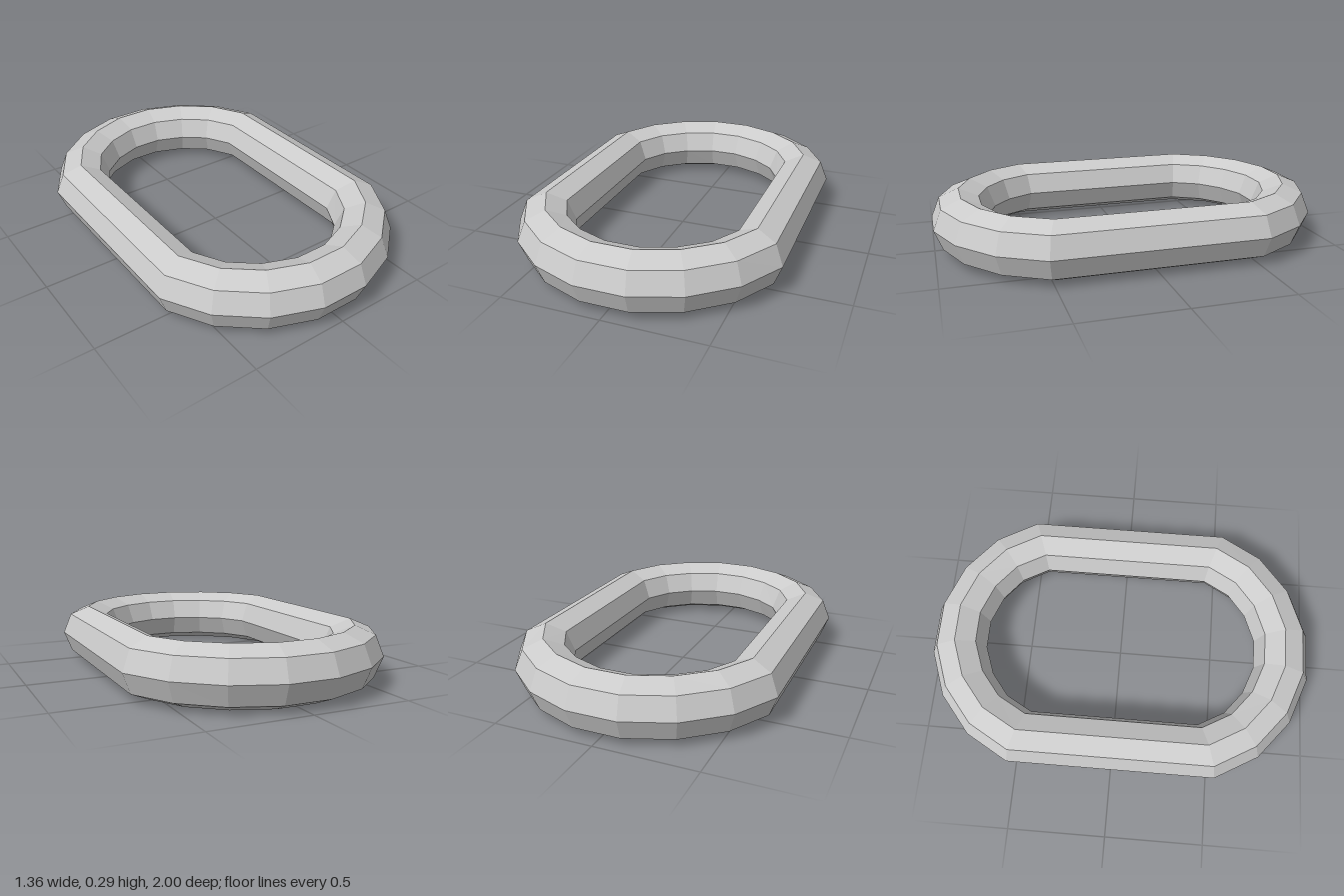
import * as THREE from 'three';

// One quarter of the link seen from above: [outer x, outer z, inner x, inner z]
const QUARTER = [
  [0.68, 0.53, 0.41, 0.435],
  [0.555, 0.75, 0.335, 0.57],
  [0.36, 0.912, 0.22, 0.662],
  [0.125, 1.0, 0.075, 0.717],
];
const SIDES = 8;
const HALF_HEIGHT = 0.1465;

// Mirror the quarter into a closed loop running from +x through +z
function linkStations() {
  const flip = (list, sx, sz) => list.map(([a, b, c, d]) => [a * sx, b * sz, c * sx, d * sz]);
  const reversed = [...QUARTER].reverse();
  return [...QUARTER, ...flip(reversed, -1, 1), ...flip(QUARTER, -1, -1), ...flip(reversed, 1, -1)];
}

// Sweep an octagonal section, stretched between the inner and outer outline
function linkGeometry() {
  const stations = linkStations();
  const positions = [];
  const index = [];
  const id = (i, j) => (i % stations.length) * SIDES + (j % SIDES);
  stations.forEach(([ox, oz, ix, iz], i) => {
    for (let j = 0; j < SIDES; j++) {
      const angle = (j / SIDES) * Math.PI * 2;
      const t = (1 + Math.cos(angle)) / 2;
      positions.push(
        THREE.MathUtils.lerp(ix, ox, t),
        HALF_HEIGHT * (1 + Math.sin(angle)),
        THREE.MathUtils.lerp(iz, oz, t)
      );
      const a = id(i, j), b = id(i, j + 1), c = id(i + 1, j + 1), d = id(i + 1, j);
      index.push(a, b, c, a, c, d);
    }
  });
  const geometry = new THREE.BufferGeometry();
  geometry.setAttribute('position', new THREE.Float32BufferAttribute(positions, 3));
  geometry.setIndex(index);
  const faceted = geometry.toNonIndexed();
  faceted.computeVertexNormals();
  return faceted;
}

export function createModel() {
  const group = new THREE.Group();
  group.name = 'chainLink';
  const material = new THREE.MeshStandardMaterial({ color: 0xcccccc, flatShading: true });
  const link = new THREE.Mesh(linkGeometry(), material);
  link.name = 'linkRing';
  group.add(link);
  return group;
}
